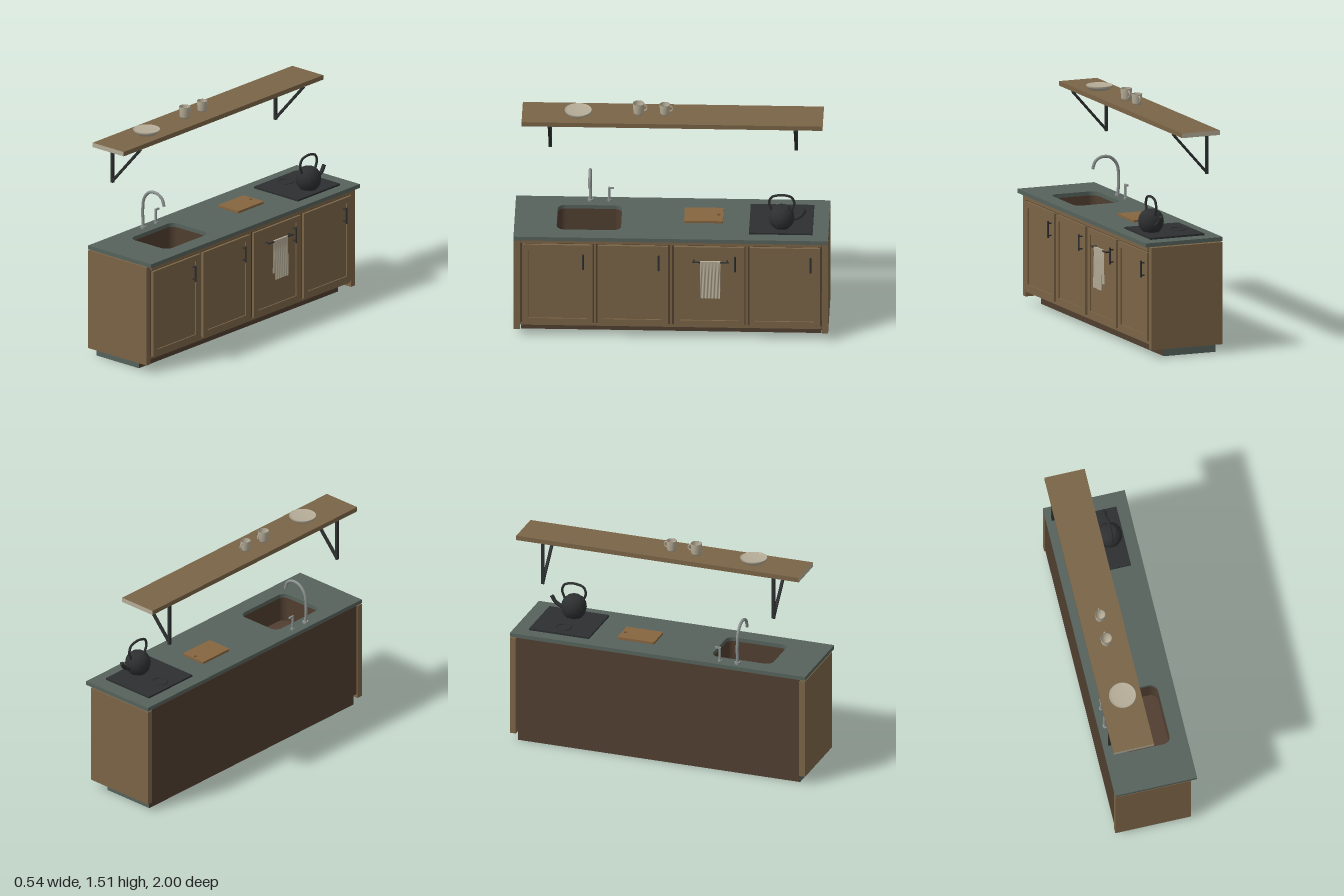
import * as THREE from 'three';

const mat = (name, color, side = THREE.FrontSide) => {
  const m = new THREE.MeshStandardMaterial({ color, side });
  m.name = name;
  return m;
};

export function createModel() {
  const wood = mat('oak', 0x7a6446);
  const darkWood = mat('dark brown', 0x503e30);
  const boardWood = mat('board wood', 0x86653f);
  const slate = mat('slate', 0x56625c);
  const cream = mat('cream', 0xb5ac97, THREE.DoubleSide);
  const black = mat('black iron', 0x2d2f30);
  const steel = mat('steel', 0x8b928f);
  const root = new THREE.Group();
  root.name = 'kitchenCounter';

  const add = (name, geo, material, parent = root) => {
    const m = new THREE.Mesh(geo, material);
    m.name = name;
    parent.add(m);
    return m;
  };
  // Box given by its limits on each axis
  const box = (name, x0, x1, y0, y1, z0, z1, material, parent) => {
    const g = new THREE.BoxGeometry(x1 - x0, y1 - y0, z1 - z0);
    g.translate((x0 + x1) / 2, (y0 + y1) / 2, (z0 + z1) / 2);
    return add(name, g, material, parent);
  };
  const V = (x, y, z) => new THREE.Vector3(x, y, z);
  const tube = (name, pts, r, material, parent, n = 32) =>
    add(name, new THREE.TubeGeometry(new THREE.CatmullRomCurve3(pts), n, r, 10), material, parent);
  const lathe = (name, pts, n, material, parent) =>
    add(name, new THREE.LatheGeometry(pts.map(p => new THREE.Vector2(...p)), n), material, parent);
  const rod = (name, r, h, x, y, z, material, parent) => {
    const m = add(name, new THREE.CylinderGeometry(r, r, h, 20), material, parent);
    m.position.set(x, y, z);
    return m;
  };
  // Rounded rectangle in plan, centred on x, z
  const roundRect = (Type, cx, cz, w, d, r) => {
    const s = new Type(), a = w / 2 - r, b = d / 2 - r, y = -cz;
    s.absarc(cx + a, y + b, r, 0, Math.PI / 2);
    s.absarc(cx - a, y + b, r, Math.PI / 2, Math.PI);
    s.absarc(cx - a, y - b, r, Math.PI, Math.PI * 1.5);
    s.absarc(cx + a, y - b, r, Math.PI * 1.5, Math.PI * 2);
    s.closePath();
    return s;
  };
  const slab = (shape, y, h) => new THREE.ExtrudeGeometry(shape, { depth: h, bevelEnabled: false, curveSegments: 8 })
    .rotateX(-Math.PI / 2).translate(0, y, 0);
  const rect = (x0, x1, z0, z1) => new THREE.Shape([[x0, -z1], [x1, -z1], [x1, -z0], [x0, -z0]]
    .map(p => new THREE.Vector2(...p)));

  // Worktop with sink cut-out
  const top = rect(-0.27, 0.265, -1, 1);
  top.holes.push(roundRect(THREE.Path, 0, 0.525, 0.32, 0.41, 0.05));
  add('worktop', slab(top, 0.723, 0.026), slate);

  // Sink basin and drain
  const wall = roundRect(THREE.Shape, 0, 0.525, 0.336, 0.426, 0.058);
  wall.holes.push(roundRect(THREE.Path, 0, 0.525, 0.32, 0.41, 0.05));
  add('sinkWall', slab(wall, 0.56, 0.163), darkWood);
  add('sinkFloor', slab(roundRect(THREE.Shape, 0, 0.525, 0.336, 0.426, 0.058), 0.55, 0.01), darkWood);
  rod('sinkDrain', 0.018, 0.004, 0, 0.562, 0.525, darkWood);

  // Cabinet shell and plinth
  box('cabinetBack', -0.265, -0.25, 0.085, 0.72, -0.957, 0.957, darkWood);
  box('cabinetFloor', -0.25, 0.215, 0.085, 0.1, -0.957, 0.957, darkWood);
  box('cabinetFace', 0.2, 0.215, 0.1, 0.72, -0.957, 0.957, darkWood);
  box('topRail', 0.215, 0.234, 0.687, 0.72, -0.957, 0.957, wood);
  box('bottomRail', 0.215, 0.222, 0.085, 0.1, -0.957, 0.957, wood);
  box('plinth', -0.24, 0.12, 0, 0.085, -0.955, 0.955, [darkWood, darkWood, darkWood, darkWood, slate, slate]);
  for (const s of [-1, 1])
    box('sidePanel', -0.27, 0.225, 0.055, 0.716, Math.min(s, s * 0.96), Math.max(s, s * 0.96), wood);
  for (const z of [-0.483, 0, 0.483])
    box('divider', 0.215, 0.222, 0.1, 0.687, z - 0.007, z + 0.007, wood);

  // Framed doors with bar handles
  for (const zc of [0.721, 0.241, -0.244, -0.725]) {
    const door = new THREE.Group();
    door.name = 'door';
    door.position.z = zc;
    root.add(door);
    const w = 0.224, f = 0.038;
    const frame = new THREE.Shape([[-w, 0.103], [w, 0.103], [w, 0.675], [-w, 0.675]].map(p => new THREE.Vector2(...p)));
    frame.holes.push(new THREE.Path([[-w + f, 0.103 + f], [-w + f, 0.675 - f], [w - f, 0.675 - f], [w - f, 0.103 + f]]
      .map(p => new THREE.Vector2(...p))));
    add('doorFrame', new THREE.ExtrudeGeometry(frame, { depth: 0.018, bevelEnabled: false })
      .rotateY(Math.PI / 2).translate(0.216, 0, 0), wood, door);
    box('doorPanel', 0.216, 0.225, 0.13, 0.65, -w + 0.02, w - 0.02, wood, door);
    const hz = -w + 0.06;
    rod('handleBar', 0.006, 0.108, 0.25, 0.562, hz, black, door);
    for (const y of [0.522, 0.602])
      box('handlePost', 0.222, 0.25, y - 0.004, y + 0.004, hz - 0.004, hz + 0.004, black, door);
  }

  // Towel rail and pleated towel
  rod('towelRail', 0.005, 0.236, 0.258, 0.578, -0.252, black).rotation.x = Math.PI / 2;
  for (const z of [-0.145, -0.359])
    box('railPost', 0.22, 0.258, 0.574, 0.582, z - 0.004, z + 0.004, black);
  const cloth = (name, x, y0, sign) => {
    const g = new THREE.PlaneGeometry(0.13, 0.584 - y0, 40, 14).rotateY(Math.PI / 2)
      .translate(x, (0.584 + y0) / 2, -0.25);
    const p = g.attributes.position;
    for (let i = 0; i < p.count; i++) {
      const drop = Math.min(1, (0.584 - p.getY(i)) / 0.08);
      p.setX(i, x + sign * 0.003 * drop * Math.sin(p.getZ(i) * 290 + p.getY(i) * 14));
    }
    g.computeVertexNormals();
    add(name, g, cream);
  };
  cloth('towelFront', 0.264, 0.32, 1);
  cloth('towelBack', 0.25, 0.36, -1);
  box('towelFold', 0.25, 0.264, 0.583, 0.585, -0.315, -0.185, cream);

  // Swan-neck tap and lever
  rod('tapBase', 0.018, 0.014, -0.222, 0.756, 0.525, steel);
  tube('tapSpout', [V(-0.222, 0.75, 0.525), V(-0.228, 0.87, 0.525), V(-0.215, 0.955, 0.525), V(-0.17, 1.003, 0.525),
    V(-0.11, 1.01, 0.525), V(-0.066, 0.985, 0.525), V(-0.046, 0.935, 0.525)], 0.01, steel, root, 40);
  rod('leverBase', 0.013, 0.01, -0.222, 0.754, 0.405, steel);
  rod('leverStem', 0.008, 0.095, -0.222, 0.797, 0.405, steel);
  box('leverArm', -0.228, -0.216, 0.836, 0.847, 0.375, 0.412, steel);

  // Hob with two rings
  box('hob', -0.187, 0.187, 0.749, 0.761, -0.9, -0.495, black);
  for (const x of [-0.095, 0.095]) {
    const ring = add('burnerRing', new THREE.TorusGeometry(0.048, 0.005, 8, 28), black);
    ring.rotation.x = Math.PI / 2;
    ring.position.set(x, 0.762, -0.7);
  }

  // Kettle
  const kettle = new THREE.Group();
  kettle.name = 'kettle';
  kettle.position.set(0.095, 0.765, -0.7);
  root.add(kettle);
  lathe('kettleBody', [[0, 0], [0.055, 0], [0.074, 0.024], [0.082, 0.06], [0.077, 0.095], [0.062, 0.12],
    [0.045, 0.13], [0.042, 0.136], [0, 0.138]], 16, black, kettle);
  tube('kettleHandle', [V(0, 0.11, 0.062), V(0, 0.165, 0.08), V(0, 0.205, 0.064), V(0, 0.22, 0.02), V(0, 0.22, -0.02),
    V(0, 0.205, -0.064), V(0, 0.165, -0.08), V(0, 0.11, -0.062)], 0.008, black, kettle);
  tube('kettleSpout', [V(0, 0.045, -0.06), V(0, 0.06, -0.1), V(0, 0.08, -0.128), V(0, 0.115, -0.15)],
    0.013, black, kettle, 14);
  const spoutTip = rod('spoutTip', 0.013, 0.002, 0, 0.115, -0.15, black, kettle);
  spoutTip.rotation.x = -0.55;

  // Cutting board with hanging hole
  const board = roundRect(THREE.Shape, -0.037, -0.202, 0.175, 0.248, 0.008);
  board.holes.push(new THREE.Path().absarc(-0.037, 0.3, 0.012, 0, Math.PI * 2));
  add('cuttingBoard', slab(board, 0.749, 0.015), boardWood);

  // Wall shelf with brackets
  box('shelf', -0.27, -0.007, 1.402, 1.432, -0.957, 0.957, [wood, wood, wood, wood, cream, cream]);
  for (const z of [-0.782, 0.782]) {
    box('bracketUpright', -0.265, -0.248, 1.12, 1.402, z - 0.01, z + 0.01, black);
    const dx = 0.235, dy = 0.265;
    const brace = add('bracketBrace', new THREE.BoxGeometry(Math.hypot(dx, dy), 0.014, 0.018), black);
    brace.position.set(-0.255 + dx / 2, 1.131 + dy / 2, z);
    brace.rotation.z = Math.atan2(dy, dx);
  }

  // Plates and cups
  lathe('plates', [[0, 0], [0.06, 0], [0.083, 0.016], [0.087, 0.03], [0.083, 0.031], [0.07, 0.024], [0, 0.024]],
    32, cream).position.set(-0.128, 1.432, 0.6);
  for (const [z, s] of [[0.217, 1], [0.05, 0.92]]) {
    const cup = new THREE.Group();
    cup.name = 'cup';
    cup.position.set(-0.143, 1.432, z);
    cup.scale.setScalar(s);
    root.add(cup);
    lathe('cupBody', [[0, 0], [0.028, 0], [0.033, 0.012], [0.037, 0.075], [0.033, 0.075], [0.029, 0.014], [0, 0.008]],
      20, cream, cup);
    const ear = add('cupHandle', new THREE.TorusGeometry(0.02, 0.005, 8, 16, Math.PI), cream, cup);
    ear.rotation.set(-Math.PI / 2, Math.PI / 2, 0, 'YXZ');
    ear.rotation.set(0, Math.PI / 2, -Math.PI / 2, 'YXZ');
    ear.position.set(0, 0.042, -0.034);
  }
  return root;
}
